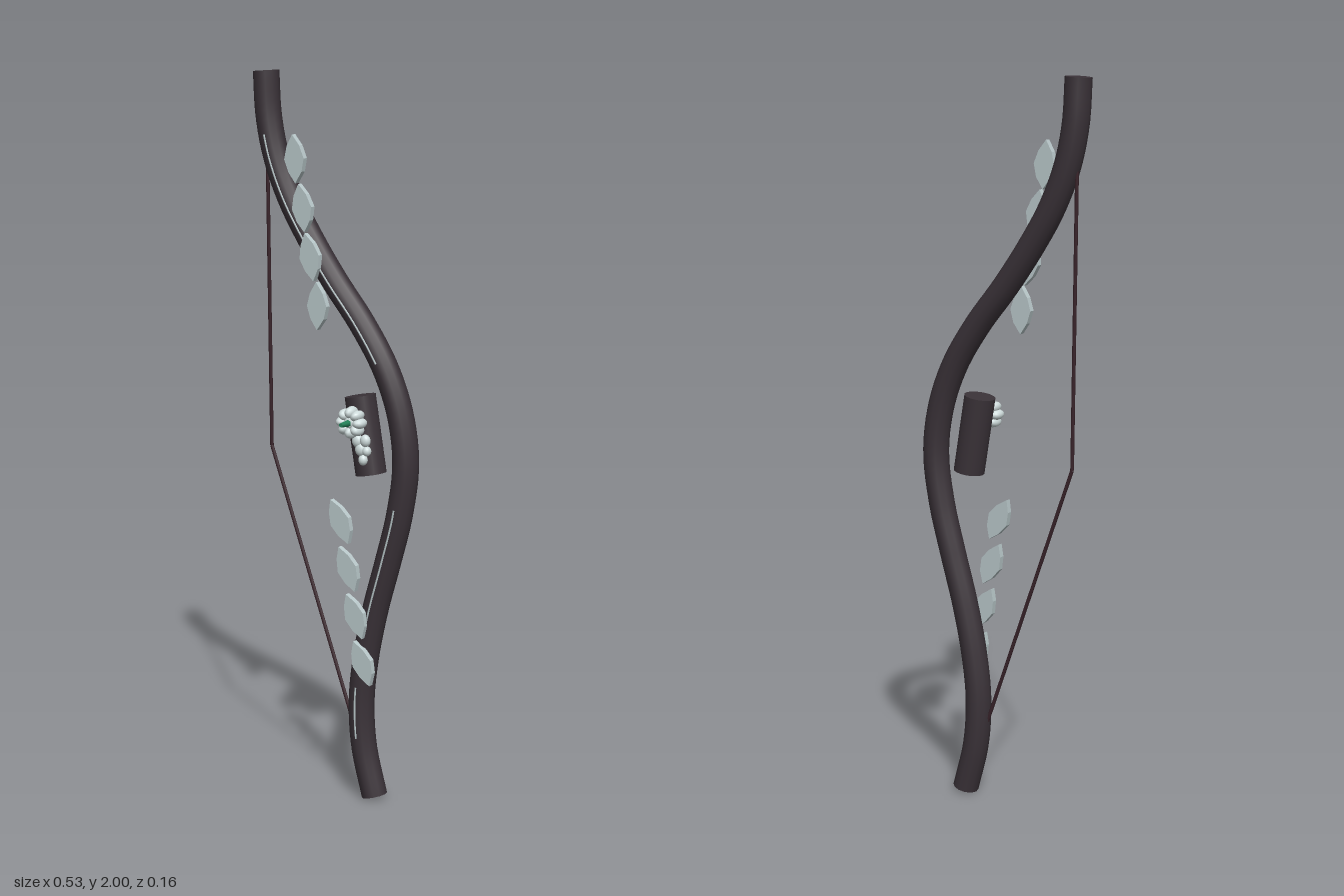
import * as THREE from 'three';

const mat = (name, color, side = THREE.FrontSide) => {
  const m = new THREE.MeshStandardMaterial({ color, side });
  m.name = name;
  return m;
};

export function createModel() {
  const group = new THREE.Group();
  const wood = mat('dark wood', 0x3a3238);
  const cord = mat('cord', 0x3a242b);
  const silver = mat('pale silver', 0xb9c8ca);
  const pale = mat('pale gourd', 0xcfdcdc);
  const green = mat('stem green', 0x23845a);
  const Z = -0.038, R = 0.036;

  const add = (name, geo, material, x = 0, y = 0, z = 0, parent = group) => {
    const m = new THREE.Mesh(geo, material);
    m.name = name;
    m.position.set(x, y, z);
    parent.add(m);
    return m;
  };

  // Recurved limb
  const path = [
    [-0.23, 2.0], [-0.222, 1.88], [-0.197, 1.77], [-0.15, 1.66], [-0.085, 1.555],
    [-0.005, 1.445], [0.085, 1.335], [0.16, 1.22], [0.207, 1.1], [0.225, 0.97],
    [0.207, 0.83], [0.17, 0.69], [0.13, 0.55], [0.1, 0.41], [0.086, 0.28],
    [0.095, 0.15], [0.13, 0.015],
  ];
  const curve = new THREE.CatmullRomCurve3(path.map(([x, y]) => new THREE.Vector3(x, y, Z)));
  add('limb', new THREE.TubeGeometry(curve, 80, R, 12), wood);
  for (const t of [0, 1]) {
    const cap = add('limbEnd', new THREE.CircleGeometry(R, 12), wood);
    cap.position.copy(curve.getPointAt(t));
    const out = curve.getTangentAt(t).multiplyScalar(t ? 1 : -1);
    cap.quaternion.setFromUnitVectors(new THREE.Vector3(0, 0, 1), out);
  }

  // Fine inlaid veins along the front of the limb
  for (const [a, b] of [[0.08, 0.41], [0.6, 0.76], [0.85, 0.92]]) {
    const pts = [];
    for (let i = 0; i <= 16; i++) {
      const p = curve.getPointAt(a + (b - a) * i / 16);
      pts.push(new THREE.Vector3(p.x, p.y, Z + R - 0.002));
    }
    add('vein', new THREE.TubeGeometry(new THREE.CatmullRomCurve3(pts), 32, 0.0032, 6), silver);
  }

  // Drawn string in two straight runs
  const nodes = [[-0.227, 1.78], [-0.217, 0.97], [0.06, 0.21]].map(([x, y]) => new THREE.Vector3(x, y, Z));
  for (let i = 0; i < 2; i++) {
    const run = new THREE.LineCurve3(nodes[i], nodes[i + 1]);
    add('string', new THREE.TubeGeometry(run, 1, 0.005, 6), cord);
  }

  // Grip
  const grip = add('grip', new THREE.CylinderGeometry(0.043, 0.043, 0.215, 16), wood, 0.095, 1.035, -0.04);
  grip.rotation.z = 0.17;

  // Flat faceted leaves, two sprays of four
  const leafShape = new THREE.Shape([
    [0, 0.065], [-0.02, 0.035], [-0.031, 0], [-0.02, -0.035], [0, -0.065],
    [0.023, -0.035], [0.033, 0], [0.021, 0.035],
  ].map(([x, y]) => new THREE.Vector2(x, y)));
  const leafGeo = new THREE.ExtrudeGeometry(leafShape, { depth: 0.016, bevelEnabled: false });
  const spray = (x, y, tilts) => tilts.forEach((tilt, i) => {
    const leaf = add('leaf', leafGeo, silver, x + i * 0.0245, y - i * 0.13, -0.006);
    leaf.rotation.z = tilt;
  });
  spray(-0.106, 1.77, [0.08, 0.15, 0.22, 0.02]);
  spray(0.042, 0.795, [0.46, 0.42, 0.42, 0.42]);

  // Lobed gourd facing forward
  const gourd = new THREE.Group();
  gourd.name = 'gourd';
  gourd.position.set(0.096, 1.08, 0.031);
  group.add(gourd);
  const lobeGeo = new THREE.SphereGeometry(1, 14, 10);
  for (let i = 0; i < 8; i++) {
    const a = i * Math.PI / 4;
    const lobe = add('lobe', lobeGeo, pale, Math.cos(a) * 0.027, Math.sin(a) * 0.027, 0, gourd);
    lobe.scale.set(0.017, 0.0145, 0.025);
    lobe.rotation.z = a;
  }
  add('core', lobeGeo, pale, 0, 0, 0, gourd).scale.set(0.022, 0.022, 0.018);
  const stem = add('stem', new THREE.CylinderGeometry(0.006, 0.01, 0.036, 6), green, 0, 0, 0.032, gourd);
  stem.rotation.x = Math.PI / 2;

  // Small buds trailing below the gourd
  for (const [x, y, s] of [[0.098, 1.025, 0.016], [0.123, 1.028, 0.015], [0.108, 1.003, 0.016],
    [0.128, 1.0, 0.012], [0.116, 0.975, 0.013]]) {
    add('bud', lobeGeo, pale, x, y, 0.004).scale.set(s, s * 1.15, 0.013);
  }
  return group;
}
